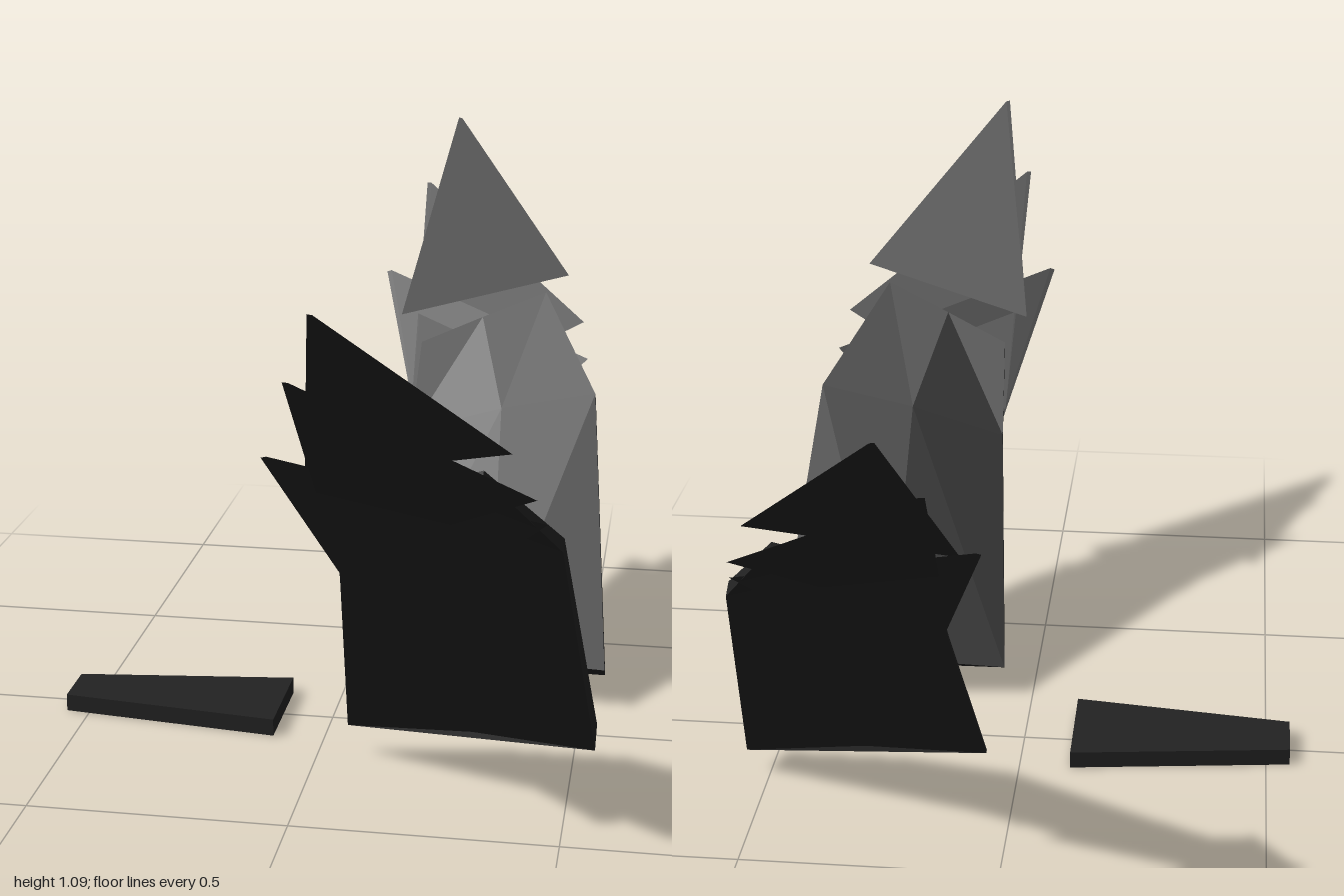
import * as THREE from 'three';

const charcoal = new THREE.MeshStandardMaterial({ color: 0x222222, flatShading: true });
charcoal.name = 'charcoal';
// same colour for the paper-thin feathers, visible from both faces
const charcoalThin = charcoal.clone();
charcoalThin.side = THREE.DoubleSide;
charcoalThin.name = 'charcoal';

function facetedMesh(name, points, index, material = charcoal) {
  let geo = new THREE.BufferGeometry();
  geo.setAttribute('position', new THREE.Float32BufferAttribute(points.flat(), 3));
  geo.setIndex(index);
  geo = geo.toNonIndexed();
  geo.computeVertexNormals();
  const mesh = new THREE.Mesh(geo, material);
  mesh.name = name;
  return mesh;
}

// Joins closed rings of equal size into a capped solid
function loft(name, rings, flip) {
  const n = rings[0].length, index = [];
  const tri = (a, b, c) => index.push(...(flip ? [a, c, b] : [a, b, c]));
  for (let s = 0; s < rings.length - 1; s++) {
    for (let i = 0; i < n; i++) {
      const a = s * n + i, b = s * n + (i + 1) % n, c = b + n, d = a + n;
      tri(a, d, c);
      tri(a, c, b);
    }
  }
  const end = (rings.length - 1) * n;
  for (let i = 1; i < n - 1; i++) {
    tri(0, i, i + 1);
    tri(end, end + i + 1, end + i);
  }
  return facetedMesh(name, rings.flat(), index);
}

// Wing stations from root to tip: underside points [x, y, z, thickness]
// at the leading edge, mid chord and trailing edge
const stations = [
  [[0.545, 0.053, 0.19, 0.062], [0.305, 0.07, 0.18, 0.045], [0.06, 0.065, 0.177, 0.008]],
  [[0.49, 0.565, 0.505, 0.032], [0.29, 0.53, 0.488, 0.025], [0.093, 0.48, 0.472, 0.006]],
  [[0.365, 0.75, 0.678, 0.014], [0.23, 0.70, 0.635, 0.01], [0.1, 0.65, 0.592, 0.005]],
];

// Feather corners: tip, leading corner, inner corner
const feathers = [
  [[0.13, 1.095, 1.0], [0.413, 0.793, 0.684], [0.053, 0.71, 0.6]],
  [[0.07, 0.96, 0.895], [0.452, 0.70, 0.636], [0.09, 0.53, 0.5]],
  [[0, 0.785, 0.73], [0.467, 0.635, 0.567], [0.15, 0.35, 0.38]],
];

function makeWing(side) {
  const wing = new THREE.Group();
  wing.name = side > 0 ? 'leftWing' : 'rightWing';
  const rings = stations.map((pts) => {
    const under = pts.map(([x, y, z]) => [x, y, z * side]);
    const upper = pts.map(([x, y, z, t]) => [x, y + 0.52 * t, (z - 0.85 * t) * side]);
    return [...under, ...upper.reverse()];
  });
  wing.add(loft('wingPanel', rings, side < 0));

  // blunt-tipped flat feathers fanned around the wing tip
  feathers.forEach((corners, i) => {
    const [tip, lead, inner] = corners.map(([x, y, z]) => new THREE.Vector3(x, y, z * side));
    const quad = [tip.clone().lerp(lead, 0.025), lead, inner, tip.clone().lerp(inner, 0.015)];
    wing.add(facetedMesh('feather' + (i + 1), quad.map((p) => p.toArray()),
      [0, 1, 2, 0, 2, 3], charcoalThin));
  });
  return wing;
}

export function createModel() {
  const model = new THREE.Group();
  model.name = 'wingsAndTail';
  model.add(makeWing(1), makeWing(-1));

  // tapered flat tail
  const shape = new THREE.Shape([
    new THREE.Vector2(-0.548, -0.056), new THREE.Vector2(-0.103, -0.11),
    new THREE.Vector2(-0.103, 0.11), new THREE.Vector2(-0.548, 0.056),
  ]);
  const geo = new THREE.ExtrudeGeometry(shape, { depth: 0.035, bevelEnabled: false });
  geo.rotateX(-Math.PI / 2);
  const tail = new THREE.Mesh(geo, charcoal);
  tail.name = 'tail';
  model.add(tail);
  return model;
}
